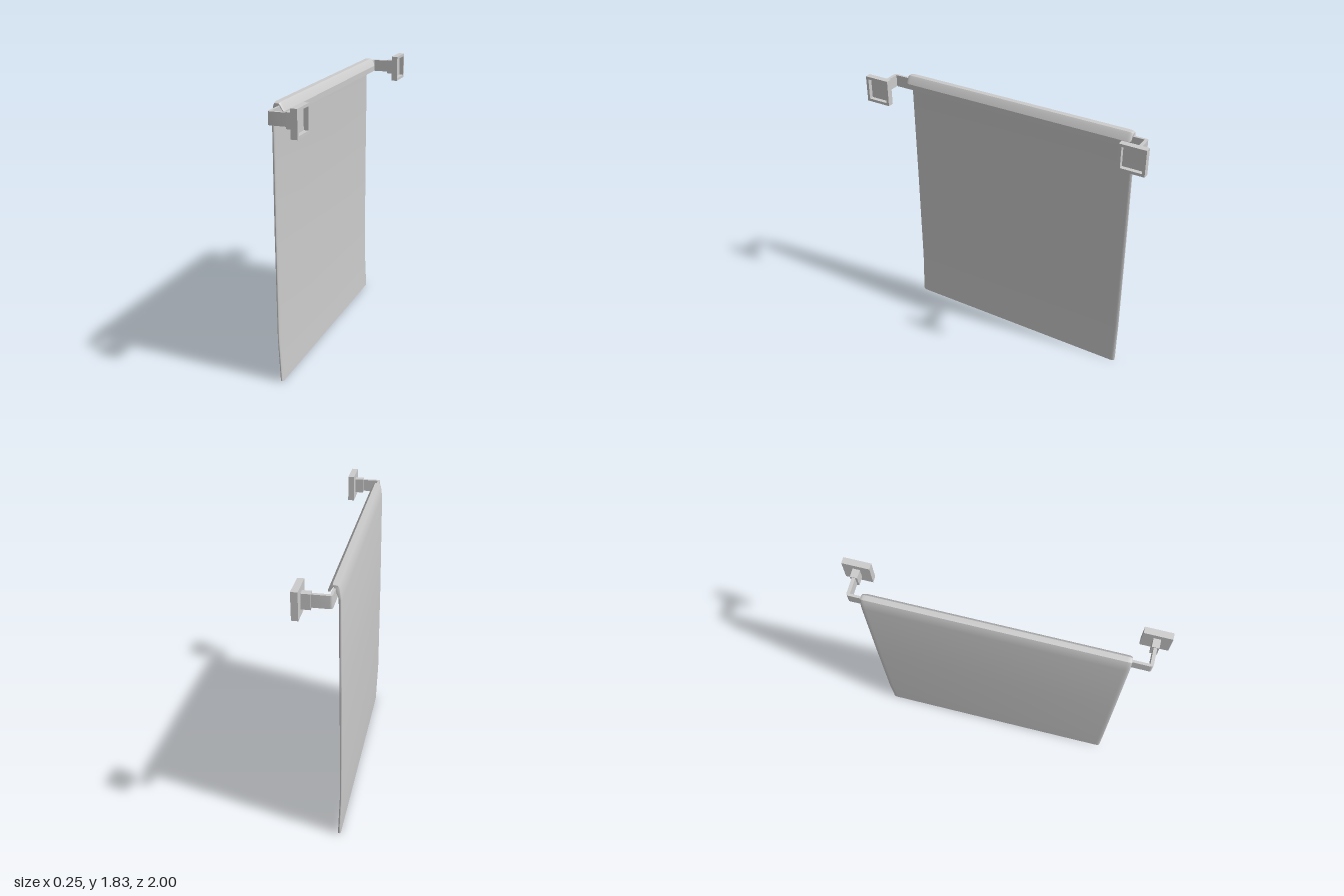
import * as THREE from 'three';
import { toCreasedNormals } from 'three/addons/utils/BufferGeometryUtils.js';

const material = new THREE.MeshStandardMaterial({ color: 0xcccccc });

function addMesh(parent, name, geometry, x = 0, y = 0, z = 0) {
  const mesh = new THREE.Mesh(geometry, material);
  mesh.name = name;
  mesh.position.set(x, y, z);
  parent.add(mesh);
  return mesh;
}

const shapeFrom = (points) => new THREE.Shape(points.map(([x, y]) => new THREE.Vector2(x, y)));

// Cloth folded over the bar: a thin strip profile with softly tapered side edges
function towelGeometry() {
  const outer = [
    [-0.11, 0], [-0.124, 0.3], [-0.127, 1], [-0.125, 1.71], [-0.116, 1.78],
    [-0.106, 1.805], [-0.072, 1.805], [-0.06, 1.792], [-0.041, 1.755],
  ];
  const inner = [
    [-0.056, 1.75], [-0.076, 1.783], [-0.096, 1.783], [-0.102, 1.71],
    [-0.105, 1], [-0.104, 0.3], [-0.09, 0],
  ];
  const geometry = new THREE.ExtrudeGeometry(shapeFrom([...outer, ...inner].reverse()), {
    depth: 1.57, bevelEnabled: true, bevelThickness: 0.03, bevelSize: 0.008,
    bevelOffset: -0.008, bevelSegments: 4,
  });
  geometry.translate(0, 0, -0.8);
  return toCreasedNormals(geometry, 0.7);
}

// Flat bar whose ends turn towards the wall, with rounded corners
function barGeometry() {
  const front = -0.09, back = -0.074, end = 0.924, inside = 0.903, tip = 0.04, r = 0.016;
  const shape = new THREE.Shape();
  shape.moveTo(tip, -end);
  shape.lineTo(tip, -inside);
  shape.lineTo(back, -inside);
  shape.lineTo(back, inside);
  shape.lineTo(tip, inside);
  shape.lineTo(tip, end);
  shape.lineTo(front + r, end);
  shape.quadraticCurveTo(front, end, front, end - r);
  shape.lineTo(front, -end + r);
  shape.quadraticCurveTo(front, -end, front + r, -end);
  shape.closePath();
  const geometry = new THREE.ExtrudeGeometry(shape, { depth: 0.08, bevelEnabled: false, curveSegments: 4 });
  geometry.rotateX(Math.PI / 2).translate(0, 1.78, 0);
  return toCreasedNormals(geometry, 0.6);
}

// Square rim, open towards the wall
function rimGeometry(half, wall, depth) {
  const square = (h) => [[-h, -h], [h, -h], [h, h], [-h, h]];
  const shape = shapeFrom(square(half));
  shape.holes.push(shapeFrom(square(half - wall).reverse()));
  return new THREE.ExtrudeGeometry(shape, { depth, bevelEnabled: false }).rotateY(Math.PI / 2);
}

export function createModel() {
  const model = new THREE.Group();
  model.name = 'towelRail';
  addMesh(model, 'towel', towelGeometry());
  addMesh(model, 'bar', barGeometry());

  // Wall brackets at both ends
  for (const side of [1, -1]) {
    const bracket = new THREE.Group();
    bracket.name = side > 0 ? 'frontBracket' : 'backBracket';
    bracket.position.set(0, 1.738, side * 0.913);
    addMesh(bracket, 'collar', new THREE.BoxGeometry(0.058, 0.096, 0.045), 0.058);
    addMesh(bracket, 'wallPlate', new THREE.BoxGeometry(0.012, 0.174, 0.174), 0.091);
    addMesh(bracket, 'plateRim', rimGeometry(0.087, 0.018, 0.029), 0.097);
    model.add(bracket);
  }
  return model;
}
